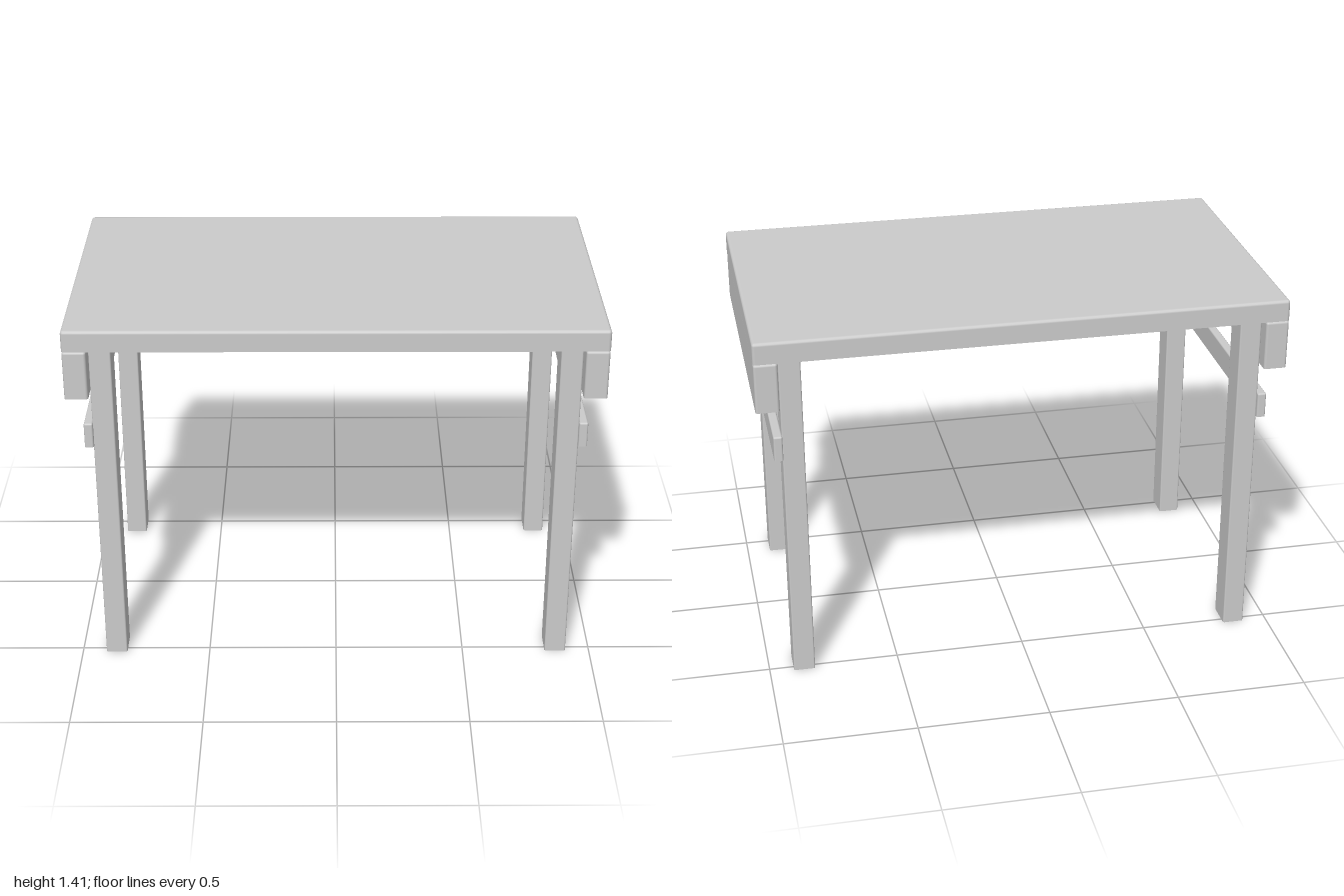
import * as THREE from 'three';

const material = new THREE.MeshStandardMaterial({ color: 0xcccccc, side: THREE.DoubleSide });

// Hollow block, open underneath, with rounded top and upright edges.
// Its base is centred on the origin.
function shellGeometry(w, h, d, r, seg = 3) {
  const pos = [], nor = [], idx = [];
  const cx = w / 2 - r, cz = d / 2 - r;
  const ringSize = 4 * (seg + 1);

  // Ring 0 is the open base; the others climb round the top edge.
  for (let j = -1; j <= seg; j++) {
    const phi = (Math.max(j, 0) / seg) * Math.PI / 2;
    for (let c = 0; c < 4; c++) {
      const sx = c === 0 || c === 3 ? 1 : -1;
      const sz = c < 2 ? 1 : -1;
      for (let i = 0; i <= seg; i++) {
        const a = (c + i / seg) * Math.PI / 2;
        const n = [Math.cos(a) * Math.cos(phi), Math.sin(phi), Math.sin(a) * Math.cos(phi)];
        nor.push(...n);
        pos.push(sx * cx + r * n[0], j < 0 ? 0 : h - r + r * n[1], sz * cz + r * n[2]);
      }
    }
  }
  for (let j = 0; j <= seg; j++) {
    for (let i = 0; i < ringSize; i++) {
      const k = (i + 1) % ringSize;
      const a = j * ringSize + i, b = j * ringSize + k;
      idx.push(a, a + ringSize, b, b, a + ringSize, b + ringSize);
    }
  }
  // Flat lid between the four rounded corners
  const lid = [0, 1, 2, 3].map((c) => (seg + 1) * ringSize + c * (seg + 1));
  idx.push(lid[0], lid[2], lid[1], lid[0], lid[3], lid[2]);

  const geometry = new THREE.BufferGeometry();
  geometry.setAttribute('position', new THREE.Float32BufferAttribute(pos, 3));
  geometry.setAttribute('normal', new THREE.Float32BufferAttribute(nor, 3));
  geometry.setIndex(idx);
  return geometry;
}

export function createModel() {
  const table = new THREE.Group();
  table.name = 'table';

  const add = (name, geometry, x, y, z) => {
    const mesh = new THREE.Mesh(geometry, material);
    mesh.name = name;
    mesh.position.set(x, y, z);
    table.add(mesh);
  };

  add('tableTop', shellGeometry(2, 0.082, 1.14, 0.012), 0, 1.328, 0);

  const leg = shellGeometry(0.082, 1.328, 0.112, 0.006);
  const apron = shellGeometry(0.088, 0.19, 1.14, 0.01);
  const rail = shellGeometry(0.034, 0.098, 1.08, 0.007);

  for (const [side, s] of [['left', 1], ['right', -1]]) {
    // Deep end board and the narrow rail below it, both outside the legs
    add(side + 'Apron', apron, s * 0.955, 1.137, 0);
    add(side + 'Rail', rail, s * 0.922, 0.922, 0);
    for (const [end, e] of [['Front', 1], ['Back', -1]]) {
      add(side + end + 'Leg', leg, s * 0.866, 0, e * 0.47);
    }
  }
  return table;
}
